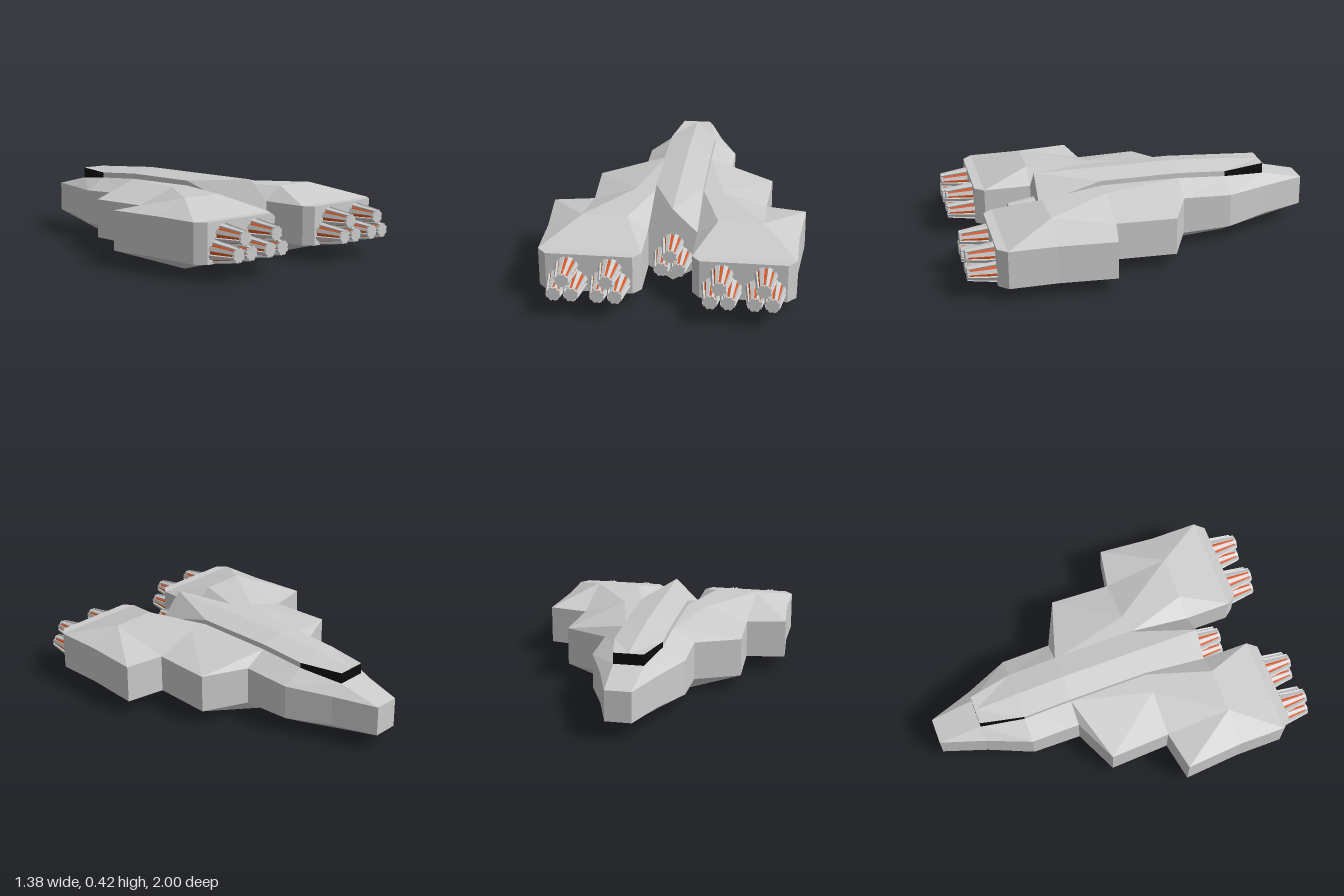
import * as THREE from 'three';

const grey = new THREE.MeshStandardMaterial({ color: 0xcccccc, flatShading: true });
const black = new THREE.MeshStandardMaterial({ color: 0x0c0c0c, flatShading: true });
const orange = new THREE.MeshStandardMaterial({ color: 0xd9531e, flatShading: true });

// Hull plan of one half: x, z, upper height, lower height
const HULL = {
  n: [0, -1, 0.265, 0.1], N: [0.07, -1, 0.265, 0.1],
  j: [0, -0.76, 0.32, 0.05], J: [0.08, -0.76, 0.32, 0.05],
  k: [0, -0.52, 0.345, 0.02], K: [0.13, -0.52, 0.345, 0.02],
  l: [0, -0.25, 0.362, 0], L: [0.13, -0.25, 0.362, 0],
  a: [0, 0.19, 0.365, 0], A: [0.13, 0.19, 0.365, 0],
  d: [0, 0.54, 0.29, 0], D: [0.13, 0.54, 0.29, 0.08],
  s: [0.15, -0.76, 0.27, 0.1], t: [0.25, -0.52, 0.28, 0.09],
  u: [0.25, -0.25, 0.29, 0.08], v: [0.49, -0.14, 0.29, 0.08],
  w: [0.475, 0.19, 0.29, 0.08], x: [0.69, 0.23, 0.29, 0.08],
  y: [0.665, 0.54, 0.29, 0.08], z: [0.665, 0.8, 0.29, 0.08],
  q: [0.62, 0.85, 0.29, 0.08], r: [0.17, 0.85, 0.29, 0.08],
  p: [0.13, 0.8, 0.29, 0.08],
  B: [0.24, 0.19, 0.365, 0], C: [0.24, 0.54, 0.365, 0], E: [0.48, 0.54, 0.365, 0],
  F: [0.24, 0.8, 0.29, 0.08], G: [0.48, 0.8, 0.29, 0.08],
};
const DECK = ['nNJj', 'jJKk', 'kKLl', 'lLAa', 'aADd', 'NsJ', 'JstK', 'KtuL', 'Luv', 'LvB', 'LBA',
  'Bvw', 'BwE', 'BEC', 'wxE', 'xyE', 'EyzG', 'CEGF', 'ABCD', 'CFpD', 'rpFGzq'];

// Raised spine on the same plan; its lower height is the deck
const SPINE = {};
Object.entries({ j: 0.38, J: 0.38, k: 0.402, K: 0.375, l: 0.42, L: 0.392, a: 0.42, A: 0.392, d: 0.42, D: 0.29 })
  .forEach(([key, top]) => { SPINE[key] = [HULL[key][0], HULL[key][1], top, HULL[key][2]]; });

const upper = ([x, z, y]) => new THREE.Vector3(x, y, z);
const lower = ([x, z, , y]) => new THREE.Vector3(x, y, z);

// Collects triangles and mirrors each one across x = 0
class Shell {
  constructor() { this.pos = []; }
  tri(a, b, c) {
    for (const v of [a, b, c]) this.pos.push(v.x, v.y, v.z);
    for (const v of [a, c, b]) this.pos.push(-v.x, v.y, v.z);
  }
  // Horizontal-ish faces, turned to look up or down
  cover(plan, faces, place, up) {
    for (const face of faces) {
      const pts = [...face].map((key) => place(plan[key]));
      for (let i = 1; i < pts.length - 1; i++) {
        const [a, b, c] = [pts[0], pts[i], pts[i + 1]];
        const ny = b.clone().sub(a).cross(c.clone().sub(a)).y;
        if (Math.abs(ny) < 1e-7) continue;
        if (ny * up > 0) this.tri(a, b, c); else this.tri(a, c, b);
      }
    }
    return this;
  }
  // Upright faces along a path of plan points
  wall(plan, path) {
    for (let i = 0; i < path.length - 1; i++) {
      const p = plan[path[i]], q = plan[path[i + 1]];
      this.tri(upper(p), upper(q), lower(q));
      this.tri(upper(p), lower(q), lower(p));
    }
    return this;
  }
  mesh(name, material) {
    const g = new THREE.BufferGeometry();
    g.setAttribute('position', new THREE.Float32BufferAttribute(this.pos, 3));
    g.computeVertexNormals();
    const m = new THREE.Mesh(g, material);
    m.name = name;
    return m;
  }
}

// One thruster: glowing core, tapered ribs and an end cap, pointing to +z
const LEN = 0.15, R0 = 0.06, R1 = 0.038, RIBS = 8;
const coreGeo = new THREE.CylinderGeometry(R1 - 0.007, R0 - 0.008, LEN - 0.004, 16).rotateX(Math.PI / 2);
const capGeo = new THREE.CylinderGeometry(R1 - 0.004, R1 - 0.002, 0.012, 8).rotateX(Math.PI / 2);
const ribGeo = new THREE.BoxGeometry(1, 1, 1);
const rp = ribGeo.attributes.position;
for (let i = 0; i < rp.count; i++) {
  const t = rp.getZ(i) + 0.5;
  const r = R0 + (R1 - R0) * t;
  rp.setXYZ(i, rp.getX(i) * r * 0.4, r - (rp.getY(i) < 0 ? 0.018 : 0), (t - 0.5) * LEN);
}
ribGeo.computeVertexNormals();

function thruster(x, y) {
  const g = new THREE.Group();
  g.name = 'thruster';
  const add = (name, geo, mat) => {
    const m = new THREE.Mesh(geo, mat);
    m.name = name;
    g.add(m);
    return m;
  };
  add('thrusterCore', coreGeo, orange);
  add('thrusterCap', capGeo, grey).position.z = LEN / 2 - 0.006;
  for (let i = 0; i < RIBS; i++) {
    add('thrusterRib', ribGeo, grey).rotation.z = ((i + 0.5) / RIBS) * Math.PI * 2;
  }
  g.position.set(x, y, LEN / 2);
  return g;
}

function engineCluster(x, z) {
  const g = new THREE.Group();
  g.name = 'engineCluster';
  g.add(thruster(0, 0.217), thruster(-0.045, 0.139), thruster(0.045, 0.139));
  g.position.set(x, 0, z);
  return g;
}

export function createModel() {
  const ship = new THREE.Group();
  ship.name = 'spaceship';

  // Hull with wings and rear engine pods
  ship.add(new Shell()
    .cover(HULL, DECK, upper, 1)
    .cover(HULL, DECK, lower, -1)
    .wall(HULL, 'nNstuvwxyzqrpDd')
    .mesh('hull', grey));

  // Spine with the cockpit window wrapped around its front
  ship.add(new Shell()
    .cover(SPINE, ['jJKk', 'kKLl', 'lLAa', 'aAd', 'ADd'], upper, 1)
    .wall(SPINE, 'KLADd')
    .mesh('spine', grey));
  ship.add(new Shell().wall(SPINE, 'jJK').mesh('cockpitWindow', black));

  // Engines: one central cluster and two on each pod
  ship.add(engineCluster(0, 0.54));
  for (const side of [-1, 1]) {
    for (const x of [0.285, 0.508]) ship.add(engineCluster(side * x, 0.85));
  }
  return ship;
}
